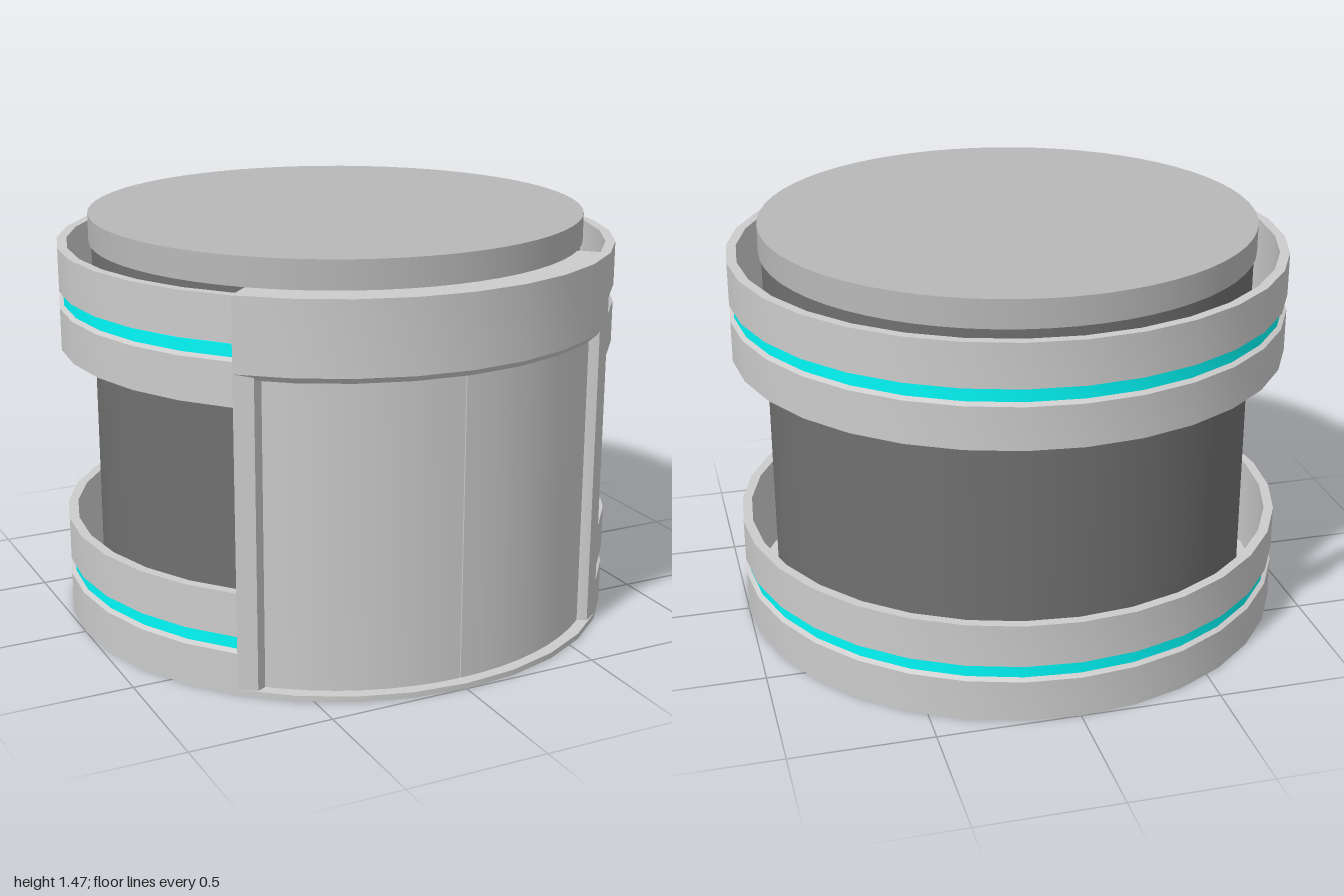
import * as THREE from 'three';
import { toCreasedNormals } from 'three/addons/utils/BufferGeometryUtils.js';

const GREY = new THREE.MeshStandardMaterial({ color: 0xcccccc });
const LID = new THREE.MeshStandardMaterial({ color: 0xb8b8b8 });
const DARK = new THREE.MeshStandardMaterial({ color: 0x707070 });
const CYAN = new THREE.MeshStandardMaterial({ color: 0x00f8f8 });
const Q = Math.PI / 4;
const SEG = Math.PI / 16; // one facet of the 32-sided outer wall

export function createModel() {
  const model = new THREE.Group();
  const add = (name, geometry, material, y = 0) => {
    const mesh = new THREE.Mesh(geometry, material);
    mesh.name = name;
    mesh.position.y = y;
    model.add(mesh);
  };

  // Profile of [radius, y] swept from angle a (0 = front) through length
  const sweep = (profile, a, length) => toCreasedNormals(
    new THREE.LatheGeometry(profile.map(p => new THREE.Vector2(...p)), Math.round(length / SEG), a, length), 0.4);

  // Plan outline of [angle, radius] raised from y0 to y1
  const raise = (outline, y0, y1) => {
    const shape = new THREE.Shape(outline.map(([a, r]) => new THREE.Vector2(r * Math.sin(a), -r * Math.cos(a))));
    const g = new THREE.ExtrudeGeometry(shape, { depth: y1 - y0, bevelEnabled: false });
    return toCreasedNormals(g.rotateX(-Math.PI / 2).translate(0, y0, 0), 0.4);
  };

  // Base plate, inner drum and lid
  add('base', new THREE.CylinderGeometry(1, 1, 0.02, 32), GREY, 0.01);
  add('drum', new THREE.CylinderGeometry(0.875, 0.875, 1.345, 64), DARK, 0.6925);
  add('lid', new THREE.CylinderGeometry(0.885, 0.885, 0.1, 64), LID, 1.415);

  // Two grooved rings with glowing strips, open at the front
  const ring = [[0.965, 0], [1, 0], [1, 0.15], [0.978, 0.16], [0.978, 0.205], [1, 0.21], [1, 0.365], [0.965, 0.365], [0.965, 0]];
  const strip = [[0.975, 0.16], [0.985, 0.161], [0.985, 0.204], [0.975, 0.205]];
  for (const [name, y] of [['lower', 0], ['upper', 1]]) {
    add(name + 'Ring', sweep(ring, Q, 6 * Q), GREY, y);
    add(name + 'LightStrip', sweep(strip, Q, 6 * Q), CYAN, y);
  }

  // Front frame: header band with a chamfered lower edge
  add('header', sweep([[0.88, 1.09], [0.985, 1.09], [1, 1.11], [1, 1.365], [0.88, 1.365], [0.88, 1.09]], -Q, 2 * Q), GREY);

  // Mirrored side posts and door leaves
  for (const s of [-1, 1]) {
    const side = s > 0 ? 'left' : 'right';
    const post = [[0.703, 0.88], [0.703, 0.955], [0.717, 0.989], [Q, 1], [Q, 0.88]];
    add(side + 'Post', raise(post.map(([a, r]) => [s * a, r]), 0.02, 1.364), GREY);

    const door = [];
    const n = 8;
    for (let i = 0; i <= n; i++) door.push([s * (0.002 + 0.708 * i / n), 0.955]);
    for (let i = n; i >= 0; i--) door.push([s * (0.002 + 0.708 * i / n), 0.88]);
    add(side + 'Door', raise(door, 0.02, 1.095), GREY);
  }
  return model;
}
